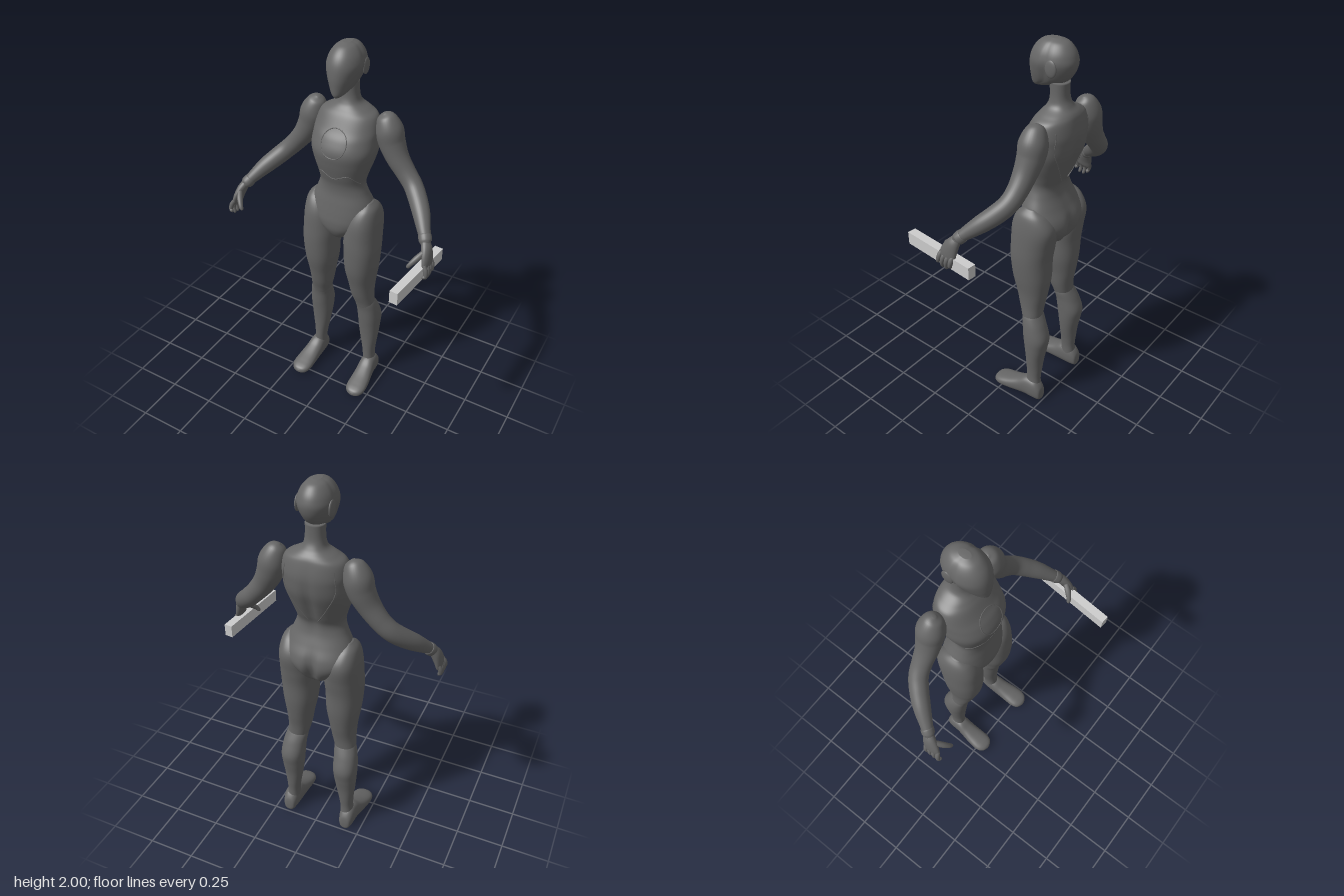
import * as THREE from 'three';

const bodyMat = new THREE.MeshStandardMaterial({ color: 0x666666 });
bodyMat.name = 'dark grey';
const barMat = new THREE.MeshStandardMaterial({ color: 0xcccccc });
barMat.name = 'light grey';

// Smooth interpolation through rows of numbers, t from 0 to 1
function sample(rows, t) {
  const n = rows.length - 1, f = Math.min(Math.max(t, 0), 1) * n;
  const i = Math.min(Math.floor(f), n - 1), k = f - i;
  const row = (j) => rows[Math.min(Math.max(j, 0), n)];
  return rows[0].map((_, c) => {
    const p = row(i - 1)[c], a = row(i)[c], b = row(i + 1)[c], q = row(i + 2)[c];
    const m0 = (b - p) / 2, m1 = (q - a) / 2;
    return a + m0 * k + (3 * (b - a) - 2 * m0 - m1) * k * k + (2 * (a - b) + m0 + m1) * k * k * k;
  });
}

// Skin a list of rings, closing both ends
function skin(rings) {
  const n = rings[0].length, pos = [], idx = [], last = rings.length - 1;
  rings.forEach((r) => r.forEach((v) => pos.push(v.x, v.y, v.z)));
  for (let i = 0; i < last; i++) {
    for (let j = 0; j < n; j++) {
      const a = i * n + j, b = i * n + (j + 1) % n;
      idx.push(a, b, b + n, a, b + n, a + n);
    }
  }
  [0, last].forEach((i) => {
    const c = rings[i].reduce((s, v) => s.add(v), new THREE.Vector3()).divideScalar(n);
    const m = pos.length / 3;
    pos.push(c.x, c.y, c.z);
    for (let j = 0; j < n; j++) {
      const a = i * n + j, b = i * n + (j + 1) % n;
      if (i) idx.push(m, a, b); else idx.push(m, b, a);
    }
  });
  const g = new THREE.BufferGeometry();
  g.setAttribute('position', new THREE.Float32BufferAttribute(pos, 3));
  g.setIndex(idx);
  g.computeVertexNormals();
  return g;
}

// Loft along y; rows are [y, centre x, half width, front z, back z]
function loft(rows, { sides = 40, power = 2.2, tweak } = {}) {
  const sorted = [...rows].sort((a, b) => a[0] - b[0]), rings = [], steps = rows.length * 6;
  const pw = (v) => Math.sign(v) * Math.abs(v) ** (2 / power);
  for (let i = 0; i <= steps; i++) {
    const [y, cx, rx, zf, zb] = sample(sorted, i / steps), ring = [];
    for (let j = 0; j < sides; j++) {
      const phi = (j / sides) * Math.PI * 2;
      const v = new THREE.Vector3(cx + Math.max(rx, 0.001) * pw(Math.sin(phi)), y,
        (zf + zb) / 2 + (zf - zb) / 2 * pw(Math.cos(phi)));
      if (tweak) tweak(v, Math.cos(phi));
      ring.push(v);
    }
    rings.push(ring);
  }
  return skin(rings);
}

// Limb along a free path; rows are [x, y, z, radius across, radius in z]
function limb(rows, sides = 20, per = 6) {
  const steps = rows.length * per, rings = [], Z = new THREE.Vector3(0, 0, 1);
  const at = (t) => new THREE.Vector3(...sample(rows, t).slice(0, 3));
  for (let i = 0; i <= steps; i++) {
    const t = i / steps, s = sample(rows, t), p = at(t);
    const T = at(t + 0.01).sub(at(t - 0.01)).normalize();
    const u = T.clone().cross(Z).normalize(), v = u.clone().cross(T);
    rings.push(Array.from({ length: sides }, (_, j) => {
      const a = (j / sides) * Math.PI * 2;
      return p.clone().addScaledVector(u, s[3] * Math.sin(a)).addScaledVector(v, (s[4] ?? s[3]) * Math.cos(a));
    }));
  }
  return skin(rings);
}

const TORSO = [
  [0.955, 0, 0.012, -0.12, -0.17], [0.98, 0, 0.05, -0.07, -0.235], [1.03, 0, 0.115, -0.038, -0.272],
  [1.08, 0, 0.165, -0.03, -0.287], [1.13, 0, 0.178, -0.035, -0.279], [1.19, 0, 0.162, -0.045, -0.25],
  [1.25, 0, 0.135, -0.055, -0.226], [1.3, 0, 0.12, -0.052, -0.222], [1.35, 0, 0.129, -0.038, -0.242],
  [1.42, 0, 0.152, -0.02, -0.27], [1.485, 0, 0.167, -0.012, -0.293], [1.545, 0, 0.166, -0.035, -0.301],
  [1.59, 0, 0.163, -0.065, -0.3], [1.645, 0, 0.145, -0.098, -0.288], [1.672, 0, 0.105, -0.118, -0.277],
  [1.7, 0, 0.06, -0.138, -0.254], [1.74, 0, 0.047, -0.149, -0.237], [1.81, 0, 0.045, -0.145, -0.235],
];

const HEAD = [
  [1.763, 0, 0.012, -0.052, -0.085], [1.778, 0, 0.033, -0.044, -0.14], [1.81, 0, 0.056, -0.04, -0.222],
  [1.85, 0, 0.074, -0.038, -0.258], [1.895, 0, 0.087, -0.042, -0.273], [1.93, 0, 0.082, -0.052, -0.268],
  [1.96, 0, 0.068, -0.07, -0.253], [1.985, 0, 0.046, -0.098, -0.228], [1.998, 0, 0.018, -0.135, -0.19],
];

const THIGH = [
  [1.205, 0.15, 0.012, -0.12, -0.17], [1.17, 0.138, 0.055, -0.07, -0.225], [1.1, 0.125, 0.083, -0.037, -0.266],
  [1.0, 0.12, 0.094, -0.028, -0.255], [0.91, 0.122, 0.093, -0.027, -0.242], [0.8, 0.12, 0.086, -0.036, -0.238],
  [0.7, 0.122, 0.07, -0.06, -0.225], [0.62, 0.126, 0.062, -0.08, -0.21], [0.56, 0.135, 0.056, -0.1, -0.205],
  [0.5, 0.146, 0.048, -0.118, -0.205], [0.47, 0.15, 0.02, -0.14, -0.19],
];

const SHIN = [
  [0.575, 0.136, 0.045, -0.115, -0.195], [0.55, 0.138, 0.057, -0.106, -0.21], [0.5, 0.147, 0.061, -0.114, -0.235],
  [0.43, 0.152, 0.063, -0.121, -0.259], [0.36, 0.153, 0.059, -0.13, -0.25], [0.28, 0.155, 0.05, -0.138, -0.235],
  [0.2, 0.158, 0.038, -0.142, -0.227], [0.14, 0.161, 0.033, -0.143, -0.222], [0.08, 0.165, 0.036, -0.143, -0.226],
];

// Foot runs along z: [z, centre x, half width, -bottom, -top]
const FOOT = [
  [-0.246, 0.17, 0.012, -0.02, -0.05], [-0.238, 0.17, 0.03, -0.004, -0.088], [-0.205, 0.17, 0.041, 0, -0.125],
  [-0.15, 0.17, 0.045, 0, -0.127], [-0.1, 0.174, 0.049, 0, -0.098], [-0.05, 0.178, 0.054, 0, -0.075],
  [0, 0.18, 0.056, 0, -0.058], [0.03, 0.18, 0.05, 0, -0.048], [0.05, 0.18, 0.034, -0.002, -0.038],
  [0.06, 0.18, 0.01, -0.012, -0.025],
];

const ARM = [
  [0.18, 1.675, -0.2, 0.008], [0.187, 1.655, -0.203, 0.043], [0.206, 1.595, -0.205, 0.067],
  [0.224, 1.53, -0.205, 0.065], [0.26, 1.46, -0.2, 0.056], [0.31, 1.395, -0.196, 0.049],
  [0.357, 1.345, -0.183, 0.047], [0.402, 1.3, -0.148, 0.046], [0.447, 1.255, -0.1, 0.042],
  [0.488, 1.207, -0.047, 0.032], [0.51, 1.18, -0.02, 0.026], [0.52, 1.165, -0.01, 0.022],
];
const CUFF = [[0.498, 1.196, -0.036, 0.026], [0.5, 1.193, -0.033, 0.032], [0.512, 1.176, -0.017, 0.031], [0.514, 1.173, -0.015, 0.024]];
const PALM = [
  [0.513, 1.178, -0.016, 0.02, 0.024], [0.528, 1.15, 0, 0.024, 0.035], [0.54, 1.115, 0.015, 0.021, 0.044],
  [0.548, 1.08, 0.025, 0.016, 0.046], [0.55, 1.065, 0.028, 0.007, 0.034],
];
const THUMB = [[0.528, 1.145, 0.025, 0.013], [0.507, 1.12, 0.058, 0.015], [0.488, 1.096, 0.08, 0.012], [0.477, 1.079, 0.087, 0.009], [0.475, 1.074, 0.088, 0.003]];

// Point on the front (1) or back (-1) of the torso
function onTorso(x, y, side) {
  let lo = 0, hi = 1;
  for (let i = 0; i < 30; i++) {
    const m = (lo + hi) / 2;
    if (sample(TORSO, m)[0] < y) lo = m; else hi = m;
  }
  const [, , rx, zf, zb] = sample(TORSO, lo);
  const k = Math.max(0, 1 - Math.min(1, Math.abs(x / rx)) ** 2.2) ** (1 / 2.2);
  return new THREE.Vector3(x, y, (zf + zb) / 2 + side * k * (zf - zb) / 2);
}

export function createModel() {
  const model = new THREE.Group();
  model.name = 'mannequin';
  const add = (name, geometry, material = bodyMat) => {
    const mesh = new THREE.Mesh(geometry, material);
    mesh.name = name;
    model.add(mesh);
    return mesh;
  };
  const bump = (y, c, w) => Math.exp(-(((y - c) / w) ** 2));

  // Torso with spine groove and seat cleft
  add('torso', loft(TORSO, {
    sides: 64, power: 2.2,
    tweak: (v, front) => {
      if (front < 0) v.z += Math.exp(-((v.x / 0.025) ** 2)) * (0.03 * bump(v.y, 1.05, 0.08) + 0.014 * bump(v.y, 1.42, 0.14));
    },
  }));

  // Head with a raised face shell
  add('head', loft(HEAD, {
    sides: 48, power: 2.05,
    tweak: (v, front) => { if (front < 0.05 && front > -0.2) v.x *= 0.95; },
  }));

  // Raised seams on the torso
  const seam = (name, pts, side, closed = false) => {
    const guide = new THREE.CatmullRomCurve3(pts.map(([x, y]) => new THREE.Vector3(x, y, 0)), closed);
    const path = guide.getPoints(40).slice(0, closed ? 40 : 41).map((p) => onTorso(p.x, p.y, side));
    add(name, new THREE.TubeGeometry(new THREE.CatmullRomCurve3(path, closed), 80, 0.0025, 6, closed));
  };
  const circle = Array.from({ length: 12 }, (_, i) => [0.067 * Math.cos(i * Math.PI / 6), 1.535 + 0.067 * Math.sin(i * Math.PI / 6)]);
  seam('chestRing', circle, 1, true);
  seam('ribSeam', [[-0.115, 1.32], [-0.075, 1.37], [0, 1.345], [0.075, 1.37], [0.115, 1.32]], 1);

  for (const s of [1, -1]) {
    const side = s > 0 ? 'left' : 'right';
    const lofted = (rows) => rows.map((r) => [r[0], r[1] * s, ...r.slice(2)]);
    const path = (rows) => rows.map((r) => [r[0] * s, ...r.slice(1)]);

    seam(side + 'BackSeam', [[0.12 * s, 1.62], [0.125 * s, 1.52], [0.08 * s, 1.42], [0.025 * s, 1.33]], -1);

    // Ear cover
    const ear = new THREE.SphereGeometry(1, 24, 16);
    ear.scale(0.01, 0.04, 0.03);
    ear.translate(0.079 * s, 1.885, -0.195);
    add(side + 'EarCover', ear);

    // Leg
    add(side + 'Thigh', loft(lofted(THIGH)));
    add(side + 'Shin', loft(lofted(SHIN)));
    add(side + 'Foot', loft(lofted(FOOT), { power: 2.4 }).rotateX(Math.PI / 2));

    // Arm and hand
    add(side + 'Arm', limb(path(ARM), 32));
    add(side + 'WristCuff', limb(path(CUFF), 24));
    add(side + 'Palm', limb(path(PALM), 24));
    add(side + 'Thumb', limb(path(THUMB), 12, 4));
    [1.03, 1.012, 1.01, 1.025].forEach((tipY, k) => {
      const z = 0.06 - 0.024 * k, tipZ = 0.076 - 0.025 * k;
      add(side + 'Finger' + (k + 1), limb(path([
        [0.545, 1.095, z, 0.01], [0.558, 1.07, z + 0.005, 0.0125], [0.562, 1.045, (z + tipZ) / 2 + 0.003, 0.0105],
        [0.554, tipY + 0.008, tipZ, 0.009], [0.55, tipY, tipZ, 0.003],
      ]), 12, 4));
    });
  }

  // Bar held in the left hand
  const bar = add('heldBar', new THREE.BoxGeometry(0.043, 0.066, 0.417), barMat);
  bar.position.set(0.525, 1.053, 0.087);
  bar.rotation.y = -0.088;

  return model;
}
